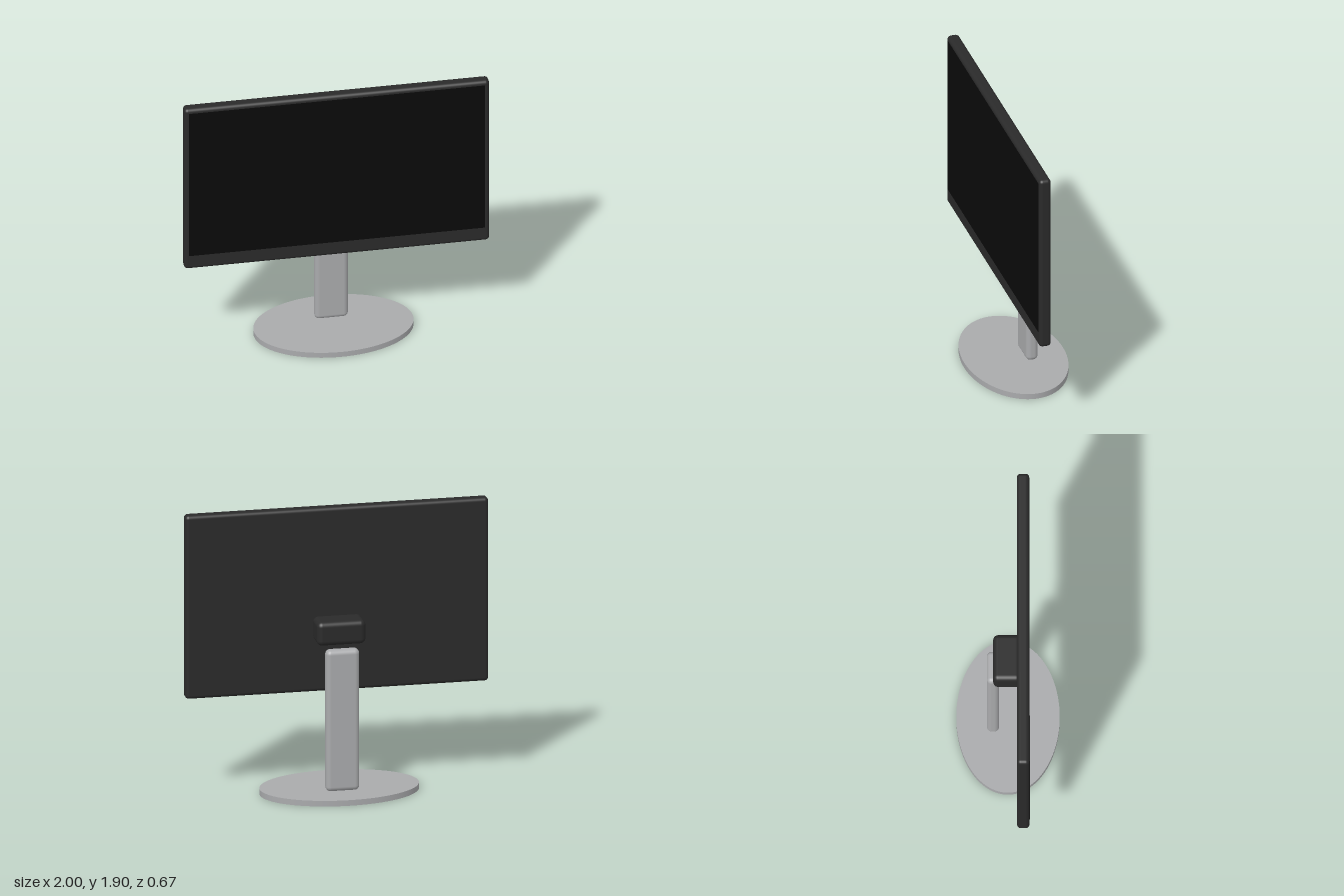
import * as THREE from 'three';
import { RoundedBoxGeometry } from 'three/addons/geometries/RoundedBoxGeometry.js';

const material = (name, color) => {
  const m = new THREE.MeshStandardMaterial({ color });
  m.name = name;
  return m;
};

export function createModel() {
  const group = new THREE.Group();
  group.name = 'monitor';

  const casing = material('dark casing', 0x2a2a2a);
  const glass = material('black screen', 0x0a0a0a);
  const metal = material('grey metal', 0xa9aaac);

  const add = (name, geometry, mat, x, y, z) => {
    const mesh = new THREE.Mesh(geometry, mat);
    mesh.name = name;
    mesh.position.set(x, y, z);
    group.add(mesh);
  };
  const rounded = (w, h, d, r) => new RoundedBoxGeometry(w, h, d, 5, r);

  // Display housing with a deeper lower bezel
  add('housing', rounded(2, 1.24, 0.08, 0.025), casing, 0, 1.28, 0.098);

  // Thin screen panel on the front
  add('screen', new THREE.BoxGeometry(1.94, 1.105, 0.006), glass, 0, 1.318, 0.137);

  // Mounting block behind the housing
  add('mount', rounded(0.32, 0.16, 0.18, 0.035), casing, 0, 1.09, -0.006);

  // Upright stand
  add('stand', rounded(0.22, 0.955, 0.08, 0.032), metal, 0, 0.5125, -0.097);

  // Oval foot
  const foot = new THREE.CylinderGeometry(1, 1, 0.038, 96);
  foot.scale(0.522, 1, 0.334);
  add('foot', foot, metal, 0, 0.019, 0);

  return group;
}
